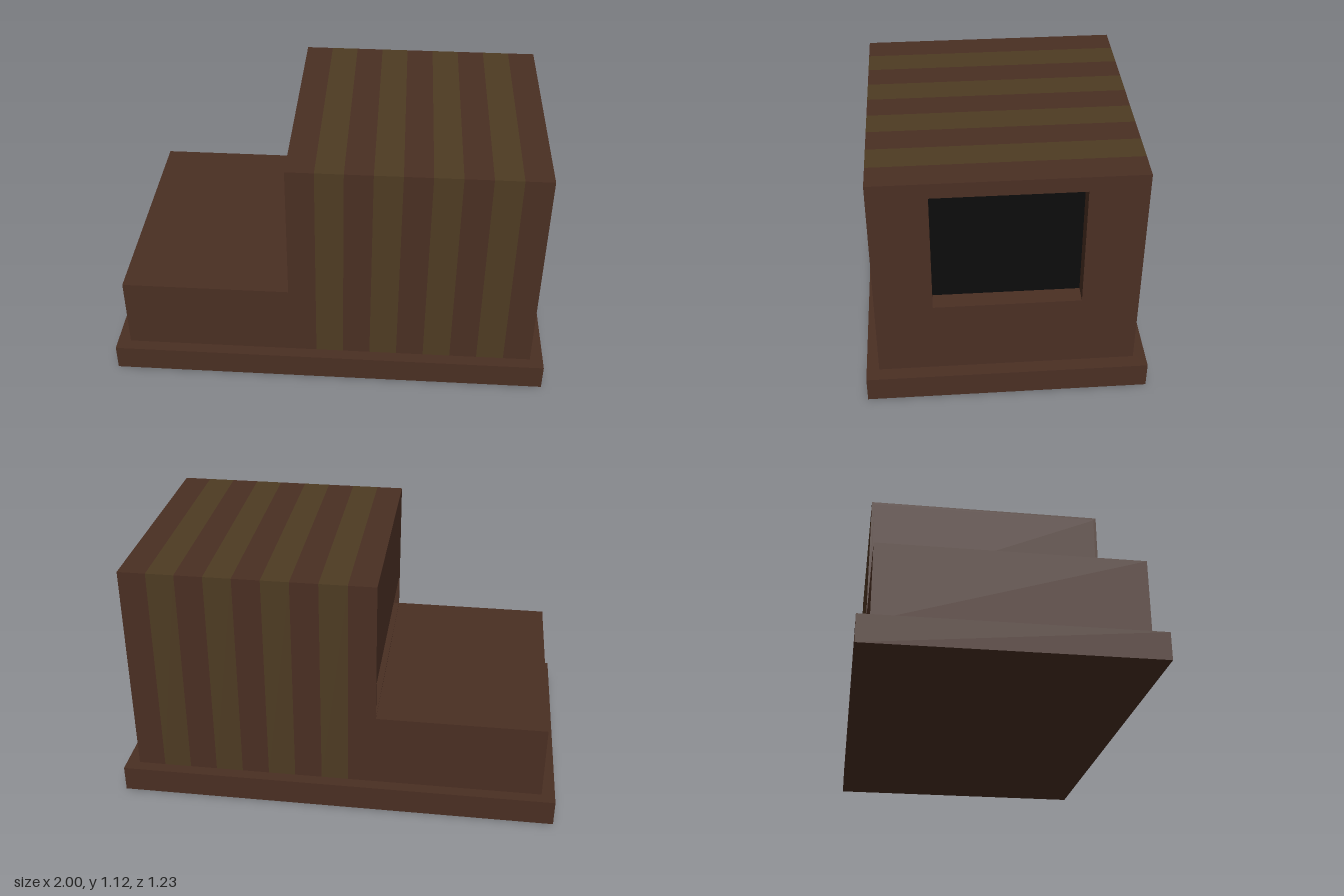
import * as THREE from 'three';

const brown = new THREE.MeshStandardMaterial({ color: 0x4a2f23 });
const olive = new THREE.MeshStandardMaterial({ color: 0x4e3b22 });
const black = new THREE.MeshStandardMaterial({ color: 0x0c0c0c });

const BASE = 0.12, SILL = 0.465, TOP = 1.12, HALF = 0.56, SKIN = 0.012;
const X0 = -0.18, X1 = 0.94;

export function createModel() {
  const model = new THREE.Group();

  const add = (name, geometry, material) => {
    const mesh = new THREE.Mesh(geometry, material);
    mesh.name = name;
    model.add(mesh);
  };

  // box given by its min and max corners
  const box = (name, material, x0, x1, y0, y1, z0, z1) => {
    const g = new THREE.BoxGeometry(x1 - x0, y1 - y0, z1 - z0);
    g.translate((x0 + x1) / 2, (y0 + y1) / 2, (z0 + z1) / 2);
    add(name, g, material);
  };

  // z-y profile swept along x
  const sweep = (name, material, shape, x0, x1) => {
    const g = new THREE.ExtrudeGeometry(shape, { depth: x1 - x0, bevelEnabled: false });
    g.rotateY(Math.PI / 2).translate(x0, 0, 0);
    add(name, g, material);
  };

  const polygon = (points) => new THREE.Shape(points.map(([a, b]) => new THREE.Vector2(a, b)));

  // plinth and low deck
  box('plinth', brown, -1, 1, 0, BASE, -0.615, 0.615);
  box('deck', brown, -0.94, X0, BASE, SILL, -HALF, HALF);

  // floor and dark core inside the tall housing
  const inner = HALF - SKIN;
  box('innerFloor', brown, X0, 0.863, BASE, 0.47, -inner, inner);
  box('darkCore', black, 0, 0.862, 0.47, TOP - SKIN, -inner, inner);

  // striped skin over the sides and roof of the housing
  const arch = polygon([
    [-HALF, BASE], [-inner, BASE], [-inner, TOP - SKIN], [inner, TOP - SKIN],
    [inner, BASE], [HALF, BASE], [HALF, TOP], [-HALF, TOP],
  ]);
  const step = (X1 - X0) / 9;
  for (let i = 0; i < 9; i++) {
    const end = i === 8 ? 0.863 : X0 + (i + 1) * step;
    sweep(i % 2 ? 'oliveStripe' : 'brownStripe', i % 2 ? olive : brown, arch, X0 + i * step, end);
  }

  // wall above the slot facing the deck
  box('slotWall', brown, X0, X0 + 0.02, 0.64, TOP - SKIN, -inner, inner);

  // end wall with the recessed window
  const wall = polygon([[-HALF, BASE], [HALF, BASE], [HALF, TOP], [-HALF, TOP]]);
  wall.holes.push(polygon([[-0.315, 0.472], [-0.315, 1.05], [0.315, 1.05], [0.315, 0.472]]));
  sweep('windowWall', brown, wall, 0.863, X1);

  return model;
}
